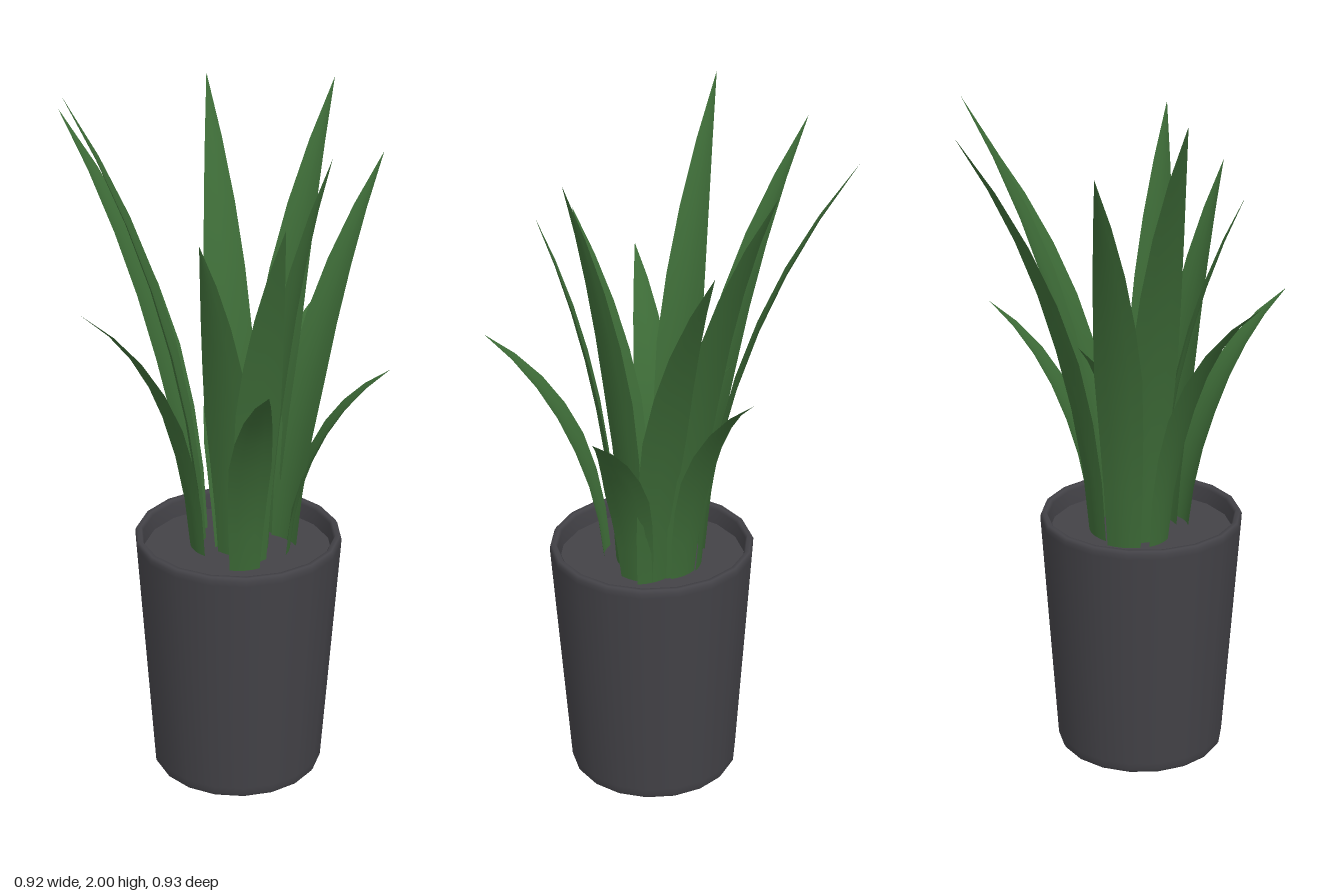
import * as THREE from 'three';

const potGrey = new THREE.MeshStandardMaterial({ color: 0x434247, side: THREE.DoubleSide });
potGrey.name = 'potGrey';
const leafGreen = new THREE.MeshStandardMaterial({ color: 0x3d6b37, side: THREE.DoubleSide });
leafGreen.name = 'leafGreen';

const SOIL_Y = 0.67;
const STEPS = 7;
const ACROSS = 4;

// Blade half width from base (t = 0) to tip (t = 1)
const WIDTHS = [[0, 0.048], [0.25, 0.062], [0.45, 0.068], [0.65, 0.052], [0.82, 0.03], [1, 0]];
function halfWidth(t) {
  for (let i = 1; i < WIDTHS.length; i++) {
    const [t0, w0] = WIDTHS[i - 1], [t1, w1] = WIDTHS[i];
    if (t <= t1) return w0 + (w1 - w0) * (t - t0) / (t1 - t0);
  }
  return 0;
}

// Arching, slightly cupped blade swept along a quadratic curve
function leafGeometry([bx, bz, tx, ty, tz, widthScale]) {
  const rise = ty - SOIL_Y;
  const bend = ty < 1.5 ? 0.7 : 0.56; // short leaves droop more
  const base = new THREE.Vector3(bx, SOIL_Y, bz);
  const tip = new THREE.Vector3(tx, ty, tz);
  const control = base.clone().lerp(tip, 0.1).setY(SOIL_Y + rise * bend);
  const curve = new THREE.QuadraticBezierCurve3(base, control, tip);
  const side = new THREE.Vector3(tz - bz, 0, bx - tx).normalize();

  const positions = [], index = [];
  for (let i = 0; i <= STEPS; i++) {
    const t = i / STEPS;
    const w = halfWidth(t) * widthScale;
    const inward = curve.getTangent(t).cross(side).normalize();
    // keep the cupped edges turned toward the plant's centre
    if (inward.x * (tx - bx) + inward.z * (tz - bz) > 0) inward.negate();
    for (let j = 0; j <= ACROSS; j++) {
      const u = (j / ACROSS) * 2 - 1;
      const p = curve.getPoint(t)
        .addScaledVector(side, u * w)
        .addScaledVector(inward, (u * u - 0.4) * w * 0.2);
      positions.push(p.x, p.y, p.z);
      if (i < STEPS && j < ACROSS) {
        const a = i * (ACROSS + 1) + j, b = a + ACROSS + 1;
        index.push(a, a + 1, b, a + 1, b + 1, b);
      }
    }
  }
  const geometry = new THREE.BufferGeometry();
  geometry.setAttribute('position', new THREE.Float32BufferAttribute(positions, 3));
  geometry.setIndex(index);
  geometry.computeVertexNormals();
  return geometry;
}

// Each leaf: base x, base z, tip x, tip y, tip z, width scale
const LEAVES = [
  [-0.05, -0.03, -0.107, 1.89, -0.465, 1],
  [0.052, 0.025, 0.342, 1.92, -0.285, 1.03],
  [0.075, 0.105, 0.462, 1.94, 0.075, 1.05],
  [0.065, 0.195, 0.443, 1.76, 0.257, 1],
  [0.03, 0.23, 0.175, 1.24, 0.463, 1],
  [-0.05, 0.19, -0.04, 1.89, 0.4, 1],
  [-0.11, 0.2, -0.217, 1.74, 0.377, 1],
  [-0.155, 0.21, -0.392, 1.35, 0.45, 0.88],
  [-0.1, 0.13, -0.333, 1.69, 0.185, 1],
  [-0.14, 0.03, -0.462, 1.47, -0.11, 0.85],
  [0.085, 0.105, 0.396, 1.34, 0.095, 0.85],
  [-0.1, 0.025, -0.302, 2.0, -0.287, 1],
  [-0.045, 0.085, 0.07, 1.29, -0.075, 1.05],
];

export function createModel() {
  const model = new THREE.Group();
  model.name = 'pottedPlant';

  // Tapered pot, open underneath, with bevelled edges and inner wall
  const profile = [
    [0.24, 0], [0.246, 0.01], [0.2475, 0.03], [0.2945, 0.71], [0.295, 0.725],
    [0.29, 0.735], [0.278, 0.735], [0.272, 0.725], [0.268, 0.675],
  ].map(([r, y]) => new THREE.Vector2(r, y));
  const pot = new THREE.Group();
  pot.name = 'pot';
  pot.position.set(-0.057, 0, 0.116);
  const wall = new THREE.Mesh(new THREE.LatheGeometry(profile, 18, Math.PI / 2), potGrey);
  wall.name = 'potWall';
  pot.add(wall);

  // Soil surface just below the rim
  const soil = new THREE.Mesh(new THREE.CircleGeometry(0.269, 18), potGrey);
  soil.name = 'soil';
  soil.rotation.x = -Math.PI / 2;
  soil.position.y = 0.68;
  pot.add(soil);
  model.add(pot);

  // Rosette of leaves
  const leaves = new THREE.Group();
  leaves.name = 'leaves';
  LEAVES.forEach((leaf, i) => {
    const mesh = new THREE.Mesh(leafGeometry(leaf), leafGreen);
    mesh.name = `leaf${i + 1}`;
    leaves.add(mesh);
  });
  model.add(leaves);

  return model;
}
